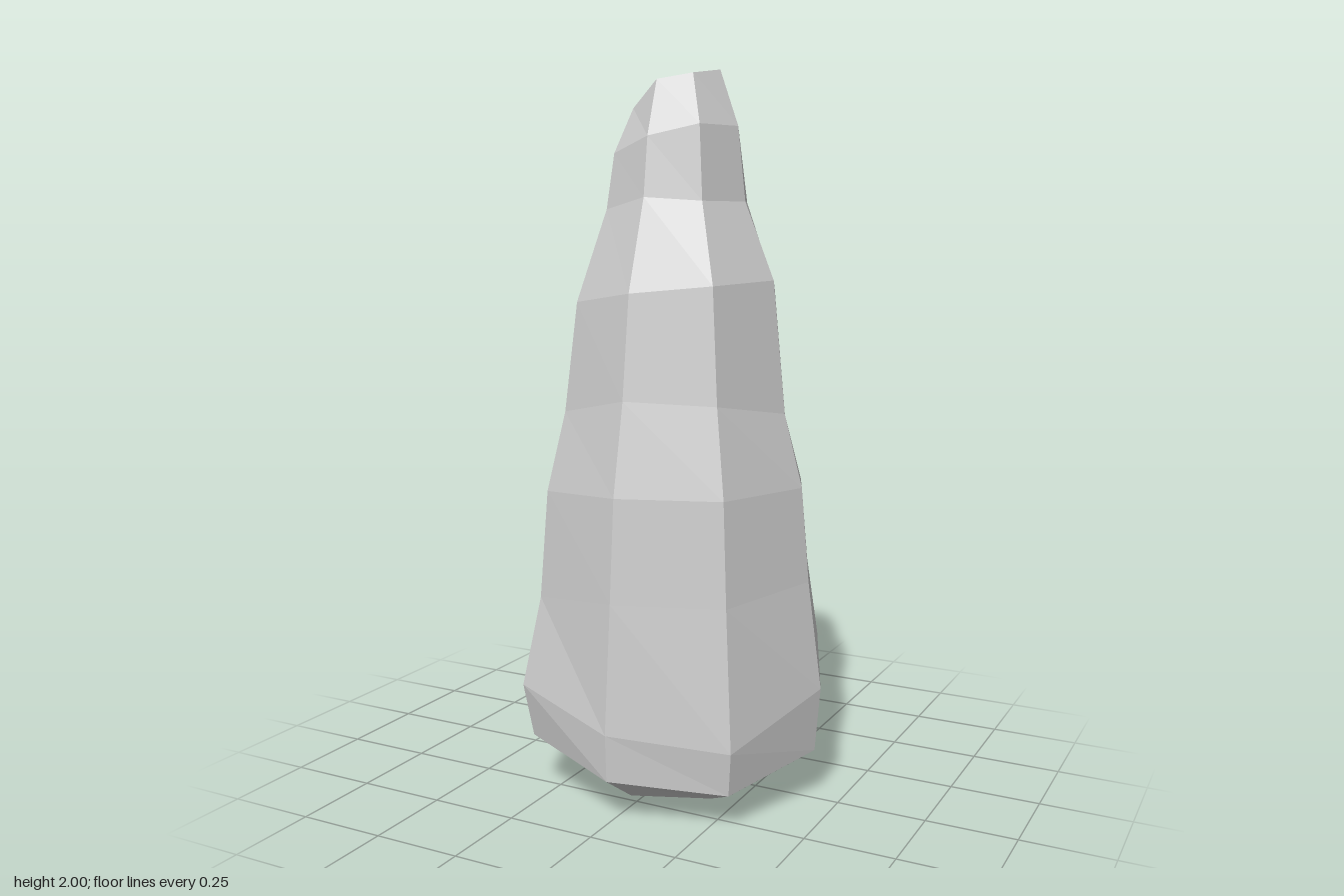
import * as THREE from 'three';

// Shared outline radius of each ring, bottom to top
const ringRadius = [0.285, 0.42, 0.435, 0.395, 0.372, 0.32, 0.284, 0.2, 0.178, 0.125];

// Eight ridges, clockwise from +x seen from above: overall scale, flare at the widest ring, ring heights
const ridges = [
  { scale: 1.02, flare: 1.0, y: [0.04, 0.14, 0.32, 0.62, 0.88, 1.08, 1.44, 1.65, 1.85, 2.0] },
  { scale: 1.04, flare: 1.0, y: [0.035, 0.1, 0.22, 0.6, 0.88, 1.12, 1.43, 1.65, 1.85, 1.985] },
  { scale: 0.99, flare: 0.98, y: [0.03, 0.12, 0.25, 0.6, 0.88, 1.13, 1.41, 1.66, 1.82, 1.97] },
  { scale: 1.02, flare: 1.03, y: [0.065, 0.16, 0.31, 0.56, 0.86, 1.08, 1.38, 1.63, 1.78, 1.9] },
  { scale: 0.98, flare: 1.055, y: [0.05, 0.17, 0.32, 0.55, 0.8, 1.05, 1.36, 1.62, 1.76, 1.88] },
  { scale: 1.01, flare: 0.99, y: [0.06, 0.19, 0.35, 0.57, 0.8, 1.03, 1.36, 1.63, 1.76, 1.9] },
  { scale: 0.99, flare: 0.98, y: [0.06, 0.2, 0.37, 0.6, 0.83, 1.02, 1.38, 1.65, 1.78, 1.93] },
  { scale: 1.02, flare: 0.99, y: [0.06, 0.2, 0.38, 0.61, 0.85, 1.04, 1.41, 1.65, 1.8, 1.945] },
];

function rockGeometry() {
  const sides = ridges.length;
  const rings = ringRadius.length;
  const positions = [];
  const index = [];

  // Irregular rings of points
  for (let j = 0; j < rings; j++) {
    ridges.forEach((ridge, k) => {
      const angle = (k / sides) * Math.PI * 2;
      const r = ringRadius[j] * ridge.scale * (j === 2 ? ridge.flare : 1);
      positions.push(Math.cos(angle) * r, ridge.y[j], Math.sin(angle) * r);
    });
  }
  // Centre points closing the base and the tip
  const base = sides * rings;
  const tip = base + 1;
  positions.push(0, 0, 0, 0.01, 1.985, 0);

  for (let k = 0; k < sides; k++) {
    const next = (k + 1) % sides;
    for (let j = 0; j < rings - 1; j++) {
      const a = j * sides + k, b = j * sides + next;
      const c = b + sides, d = a + sides;
      index.push(a, d, c, a, c, b);
    }
    const top = (rings - 1) * sides;
    index.push(base, k, next, tip, top + next, top + k);
  }

  const indexed = new THREE.BufferGeometry();
  indexed.setAttribute('position', new THREE.Float32BufferAttribute(positions, 3));
  indexed.setIndex(index);
  const geometry = indexed.toNonIndexed();
  geometry.computeVertexNormals();
  return geometry;
}

export function createModel() {
  const group = new THREE.Group();
  group.name = 'rockSpire';
  const material = new THREE.MeshStandardMaterial({ color: 0xcccccc, flatShading: true });
  const rock = new THREE.Mesh(rockGeometry(), material);
  rock.name = 'rock';
  group.add(rock);
  return group;
}
